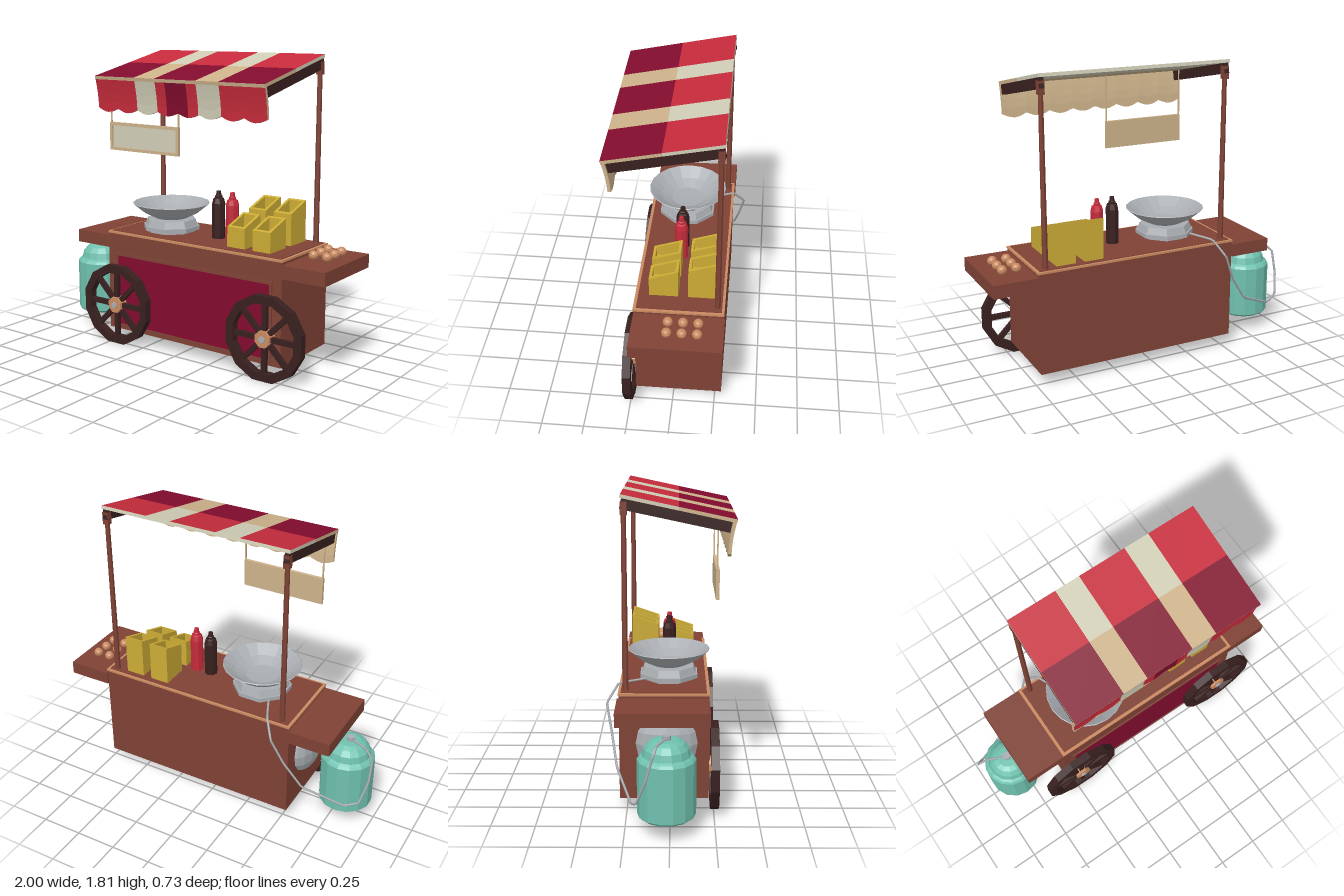
import * as THREE from 'three';

const mat = (name, color) => Object.assign(new THREE.MeshStandardMaterial({ color }), { name });

export function createModel() {
  const root = new THREE.Group();
  root.name = 'foodCart';
  const wood = mat('wood', 0x7f4235), copper = mat('copperWood', 0xc98a60), crimson = mat('crimson', 0x820c2e);
  const red = mat('red', 0xc62b3b), cream = mat('cream', 0xd0cdb6), tan = mat('tan', 0xcdb28a);
  const steel = mat('steel', 0xa9adb1), teal = mat('teal', 0x6fc0ae), yellow = mat('yellow', 0xcbab35);
  const dark = mat('darkBrown', 0x38201f);

  // Faceted normals
  const flat = (g) => {
    const f = g.index ? g.toNonIndexed() : g;
    f.computeVertexNormals();
    return f;
  };
  const add = (name, geo, material, x = 0, y = 0, z = 0, parent = root) => {
    const m = new THREE.Mesh(geo, material);
    m.name = name;
    m.position.set(x, y, z);
    parent.add(m);
    return m;
  };
  // Box given by its limits
  const box = (name, material, x0, x1, y0, y1, z0, z1, parent = root) =>
    add(name, new THREE.BoxGeometry(x1 - x0, y1 - y0, z1 - z0), material,
      (x0 + x1) / 2, (y0 + y1) / 2, (z0 + z1) / 2, parent);
  const lathe = (pts, sides) => flat(new THREE.LatheGeometry(pts.map((p) => new THREE.Vector2(...p)), sides));
  const group = (name, parent = root) => {
    const g = new THREE.Group();
    g.name = name;
    parent.add(g);
    return g;
  };
  // Four bars around a rectangle
  const frame = (name, material, x0, x1, y0, y1, z0, z1, t, parent) => {
    box(name, material, x0, x1, y0, y0 + t, z0, z1, parent);
    box(name, material, x0, x1, y1 - t, y1, z0, z1, parent);
    box(name, material, x0, x0 + t, y0 + t, y1 - t, z0, z1, parent);
    box(name, material, x1 - t, x1, y0 + t, y1 - t, z0, z1, parent);
  };

  // Cart body, side shelves and counter
  box('body', wood, -0.54, 0.73, 0.08, 0.695, -0.29, 0.22);
  box('leftShelf', wood, 0.73, 1.0, 0.6, 0.68, -0.3, 0.22);
  box('rightShelf', wood, -0.8, -0.54, 0.6, 0.68, -0.3, 0.22);
  box('counterEdge', copper, -0.543, 0.735, 0.695, 0.707, -0.295, 0.224);
  box('counterTop', wood, -0.525, 0.717, 0.705, 0.711, -0.28, 0.206);
  box('frontPanel', crimson, -0.465, 0.655, 0.115, 0.56, 0.218, 0.224);
  frame('panelFrame', wood, -0.48, 0.67, 0.1, 0.575, 0.219, 0.228, 0.017);

  // Wheels
  const rimShape = new THREE.Shape();
  const hole = new THREE.Path();
  for (let i = 0; i < 12; i++) {
    const a = (i + 0.5) * Math.PI / 6;
    const c = Math.cos(a), s = Math.sin(a);
    rimShape[i ? 'lineTo' : 'moveTo'](0.258 * c, 0.258 * s);
    hole[i ? 'lineTo' : 'moveTo'](0.208 * c, 0.208 * s);
  }
  rimShape.closePath();
  hole.closePath();
  rimShape.holes.push(hole);
  const rimGeo = new THREE.ExtrudeGeometry(rimShape, { depth: 0.048, bevelEnabled: false });
  for (const x of [-0.45, 0.645]) {
    const wheel = group('wheel');
    wheel.position.set(x, 0.25, 0.23);
    add('rim', rimGeo, dark, 0, 0, 0, wheel);
    for (let i = 0; i < 4; i++) {
      const spoke = add('spokePair', new THREE.BoxGeometry(0.43, 0.03, 0.026), dark, 0, 0, 0.024, wheel);
      spoke.rotation.z = i * Math.PI / 4;
    }
    const disc = (name, r, d, m, z) => {
      add(name, flat(new THREE.CylinderGeometry(r, r, d, 8)), m, 0, 0, z, wheel).rotation.set(Math.PI / 2, Math.PI / 8, 0);
    };
    disc('hub', 0.052, 0.062, copper, 0.022);
    disc('hubCap', 0.02, 0.012, steel, 0.055);
  }

  // Posts
  for (const x of [-0.478, 0.675]) {
    add('post', flat(new THREE.CylinderGeometry(0.014, 0.017, 1.06, 6)), wood, x, 1.24, -0.254);
    box('postTop', wood, x - 0.018, x + 0.018, 1.7, 1.775, -0.272, -0.236);
  }

  // Sloping striped canopy
  const stripes = [[-0.5, -0.2, 0], [-0.2, -0.05, 1], [-0.05, 0.24, 0], [0.24, 0.395, 1], [0.395, 0.693, 0]];
  const canopy = group('canopy');
  canopy.position.set(0, 1.748, 0.0475);
  canopy.rotation.x = 0.21;
  for (const [x0, x1, light] of stripes) {
    box('canopyBack', [cream, cream, light ? cream : red, cream, cream, cream], x0, x1, -0.02, 0, -0.325, 0, canopy);
    box('canopyFront', [tan, tan, light ? tan : crimson, tan, tan, tan], x0, x1, -0.02, 0, 0, 0.325, canopy);
  }
  box('canopySideBeam', dark, -0.495, -0.465, -0.08, -0.02, -0.315, 0.3, canopy);
  box('canopySideBeam', dark, 0.66, 0.69, -0.08, -0.02, -0.315, 0.3, canopy);

  // Hanging valance with a scalloped edge
  const valance = group('valance');
  const panels = [[-0.5, -0.2, red], [-0.2, -0.05, cream], [-0.05, 0.02, red], [0.02, 0.17, crimson],
    [0.17, 0.24, red], [0.24, 0.395, cream], [0.395, 0.693, red]];
  for (const [x0, x1, m] of panels) {
    const g = new THREE.BoxGeometry(x1 - x0, 1, 0.018, Math.ceil((x1 - x0) / 0.025), 4, 1);
    const p = g.attributes.position;
    for (let i = 0; i < p.count; i++) {
      const x = p.getX(i) + (x0 + x1) / 2, t = 0.5 - p.getY(i);
      const drop = 0.186 + 0.024 * Math.abs(Math.sin(Math.PI * (x + 0.5) / 0.149));
      p.setXYZ(i, x, 1.678 - t * drop, p.getZ(i) + 0.354 - 0.03 * Math.sin(t * 1.5));
    }
    add('valancePanel', flat(g), [tan, tan, tan, tan, m, tan], 0, 0, 0, valance);
  }

  // Hanging sign
  const sign = group('sign');
  box('signBack', tan, -0.47, 0.05, 1.232, 1.4, 0.252, 0.26, sign);
  box('signPanel', cream, -0.45, 0.03, 1.25, 1.382, 0.26, 0.264, sign);
  frame('signFrame', tan, -0.47, 0.05, 1.232, 1.4, 0.26, 0.272, 0.018, sign);
  for (const x of [-0.465, 0.045]) box('signHanger', tan, x - 0.004, x + 0.004, 1.4, 1.69, 0.256, 0.264, sign);

  // Weighing scale with a wide dish
  const scale = group('scale');
  scale.position.set(-0.22, 0, -0.01);
  const block = (name, r0, r1, y0, y1) => {
    const g = new THREE.CylinderGeometry(r1, r0, y1 - y0, 8);
    g.rotateY(Math.PI / 8);
    add(name, flat(g), steel, 0, (y0 + y1) / 2, 0, scale);
  };
  block('scaleFoot', 0.15, 0.15, 0.71, 0.725);
  block('scaleBase', 0.18, 0.18, 0.725, 0.75);
  block('scaleBody', 0.17, 0.155, 0.75, 0.79);
  add('dish', lathe([[0, 0.79], [0.1, 0.795], [0.17, 0.83], [0.24, 0.888], [0.235, 0.892],
    [0.165, 0.843], [0.1, 0.812], [0, 0.805]], 20), steel, 0, 0, 0, scale);

  // Sauce bottles
  const bottle = lathe([[0, 0], [0.04, 0], [0.04, 0.215], [0.032, 0.245], [0.022, 0.25],
    [0.022, 0.262], [0.016, 0.266], [0.014, 0.29], [0, 0.29]], 8);
  add('darkBottle', bottle, dark, 0.14, 0.71, -0.01);
  add('redBottle', bottle, red, 0.24, 0.71, -0.01);

  // Open boxes with slanted rims
  const boxShape = new THREE.Shape();
  const rect = (path, w, d) => path.moveTo(-w, -d).lineTo(w, -d).lineTo(w, d).lineTo(-w, d).closePath();
  rect(boxShape, 0.06, 0.084);
  const opening = new THREE.Path();
  rect(opening, 0.043, 0.067);
  boxShape.holes.push(opening);
  for (const x of [0.37, 0.545]) for (const [z, h] of [[0.06, 0.15], [-0.165, 0.22]]) {
    const g = new THREE.ExtrudeGeometry(boxShape, { depth: h, bevelEnabled: false });
    g.rotateX(-Math.PI / 2);
    const p = g.attributes.position;
    for (let i = 0; i < p.count; i++) if (p.getY(i) > 0.01) p.setY(i, p.getY(i) - 0.34 * p.getZ(i));
    add('servingBox', flat(g), yellow, x, 0.71, z);
    box('servingBoxFloor', yellow, x - 0.05, x + 0.05, 0.712, 0.63 + h, z - 0.075, z + 0.075);
  }

  // Round buns on the shelf
  const bun = flat(new THREE.IcosahedronGeometry(0.029, 1));
  for (const x of [0.812, 0.897]) for (const z of [0.015, -0.07, -0.155]) add('bun', bun, copper, x, 0.708, z);

  // Gas tank and its valve
  add('gasTank', lathe([[0, 0.1], [0.145, 0.1], [0.162, 0.115], [0.162, 0.43], [0.15, 0.445], [0.135, 0.455],
    [0.125, 0.495], [0.1, 0.525], [0.07, 0.54], [0, 0.545]], 14), teal, -0.812, 0, -0.018);
  add('valve', flat(new THREE.CylinderGeometry(0.025, 0.025, 0.03, 8)), steel, -0.82, 0.552, -0.018);

  // Hose from the valve to the counter
  const hose = new THREE.CurvePath();
  const pts = [[-0.82, 0.55, -0.018], [-0.94, 0.55, -0.07], [-0.99, 0.5, -0.09], [-0.992, 0.36, -0.13],
    [-0.96, 0.23, -0.18], [-0.88, 0.2, -0.21], [-0.64, 0.31, -0.298], [-0.53, 0.47, -0.33], [-0.46, 0.63, -0.362],
    [-0.4, 0.73, -0.295], [-0.33, 0.735, -0.14]].map((p) => new THREE.Vector3(...p));
  for (let i = 1; i < pts.length; i++) hose.add(new THREE.LineCurve3(pts[i - 1], pts[i]));
  add('hose', new THREE.TubeGeometry(hose, 60, 0.007, 6), steel);

  // Domed plate on the side of the body
  const dome = add('sideDome', flat(new THREE.SphereGeometry(0.18, 14, 8)), steel, -0.54, 0.42, -0.02);
  dome.scale.x = 0.45;

  return root;
}
